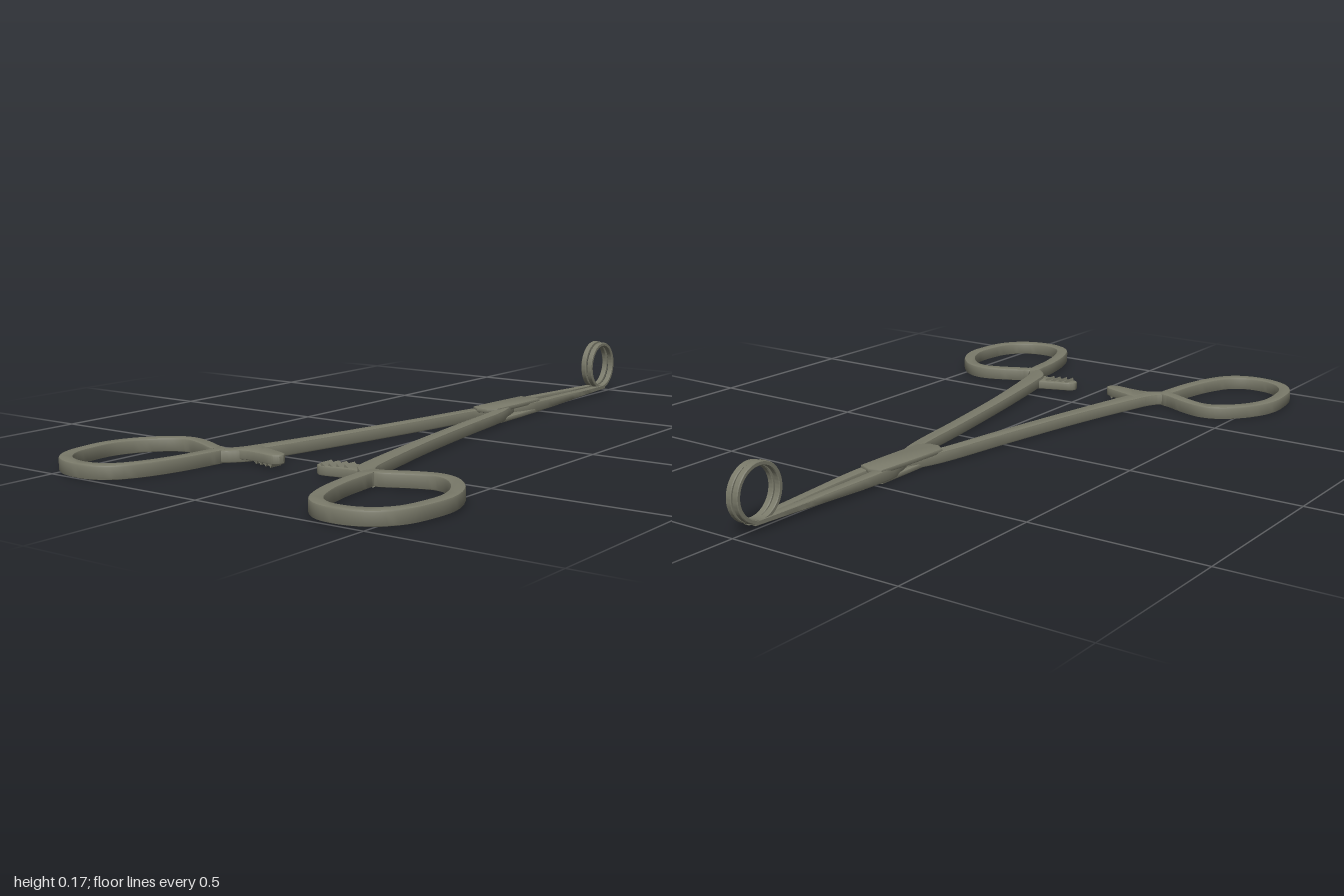
import * as THREE from 'three';
import { toCreasedNormals } from 'three/addons/utils/BufferGeometryUtils.js';

const steel = new THREE.MeshStandardMaterial({ color: 0x7a7a6a });

function part(name, geometry) {
  const mesh = new THREE.Mesh(toCreasedNormals(geometry, 0.6), steel);
  mesh.name = name;
  return mesh;
}

// Extrudes a shape drawn in (x, z) into a slab between y0 and y1.
function slab(shape, y0, y1, bevel = 0.005) {
  const g = new THREE.ExtrudeGeometry(shape, {
    depth: y1 - y0 - 2 * bevel, bevelThickness: bevel, bevelSize: bevel,
    bevelOffset: -bevel, bevelSegments: 2,
  });
  return g.rotateX(Math.PI / 2).translate(0, y1 - bevel, 0);
}

// Outline of a curved strip; each station is [x, z, width].
function strip(stations, closed = false, steps = 72) {
  const curve = new THREE.CatmullRomCurve3(
    stations.map(([x, z, w]) => new THREE.Vector3(x, z, w)), closed, 'centripetal');
  const a = [], b = [];
  for (let i = 0; i < steps + (closed ? 0 : 1); i++) {
    const p = curve.getPoint(i / steps), t = curve.getTangent(i / steps);
    const k = p.z / 2 / Math.hypot(t.x, t.y);
    a.push(new THREE.Vector2(p.x - t.y * k, p.y + t.x * k));
    b.push(new THREE.Vector2(p.x + t.y * k, p.y - t.x * k));
  }
  if (!closed) return new THREE.Shape([...a, ...b.reverse()]);
  // Outer loop runs counter-clockwise and the hole clockwise, so all walls face outwards
  const [outer, inner] = THREE.ShapeUtils.area(a) > 0 ? [b, a] : [a.reverse(), b.reverse()];
  const shape = new THREE.Shape(outer);
  shape.holes.push(new THREE.Path(inner.reverse()));
  return shape;
}

// Thins the slab towards the jaw tip.
function taperJaw(g) {
  const p = g.attributes.position;
  for (let i = 0; i < p.count; i++) {
    const t = THREE.MathUtils.smoothstep(p.getX(i), 0.35, 1.05);
    p.setY(i, 0.0245 + (p.getY(i) - 0.0245) * (1 - 0.65 * t));
  }
  return g;
}

const BOW = [
  [-0.65, 0.252], [-0.71, 0.254], [-0.79, 0.264], [-0.88, 0.288], [-0.945, 0.322],
  [-0.977, 0.37], [-0.98, 0.44], [-0.955, 0.498], [-0.905, 0.537], [-0.83, 0.553], [-0.75, 0.553],
  [-0.67, 0.52], [-0.608, 0.46], [-0.593, 0.41], [-0.61, 0.345], [-0.64, 0.28],
];
const SHANK = [
  [-0.66, 0.255, 0.04], [-0.635, 0.225, 0.044], [-0.6, 0.202, 0.05], [-0.55, 0.188, 0.049],
  [-0.3, 0.133, 0.041], [0, 0.079, 0.038], [0.24, 0.04, 0.036], [0.32, 0.015, 0.036],
  [0.42, -0.018, 0.036], [0.5, -0.025, 0.032], [0.7, -0.019, 0.026], [0.85, -0.0135, 0.021], [0.94, -0.011, 0.017],
];
const RATCHET = [
  [-0.595, 0.2, 0.085], [-0.6, 0.165, 0.066], [-0.61, 0.12, 0.054],
  [-0.619, 0.085, 0.047], [-0.622, 0.07, 0.036], [-0.624, 0.061, 0.014],
];

// One half: handle on side s, jaw crossing over to the other side.
function makeArm(name, s) {
  const arm = new THREE.Group();
  arm.name = name;
  const side = (pts) => pts.map(([x, z, w = 0.036]) => [x, z * s, w]);

  arm.add(part('fingerBow', slab(strip(side(BOW), true), 0.0045, 0.0425)));
  arm.add(part('shankAndJaw', taperJaw(slab(strip(side(SHANK)), 0.007, 0.041))));

  // Ratchet bar with a row of slanted teeth facing its partner
  const [y0, y1] = s > 0 ? [0.006, 0.032] : [0.016, 0.042];
  arm.add(part('ratchetBar', slab(strip(side(RATCHET), false, 24), y0, y1, 0.004)));
  const toothShape = new THREE.Shape([
    new THREE.Vector2(0, -0.004), new THREE.Vector2(0.02, -0.004), new THREE.Vector2(0.004, 0.008)]);
  for (let i = 0; i < 4; i++) {
    const tooth = part('ratchetTooth', new THREE.ExtrudeGeometry(toothShape, { depth: 0.04, bevelEnabled: false }));
    tooth.rotation.set(s > 0 ? 0 : Math.PI, -Math.PI / 2, 0);
    tooth.position.set(-0.6 + i * 0.005, s > 0 ? y1 : y0, s * (0.08 + i * 0.021));
    arm.add(tooth);
  }

  // Ring at the jaw tip, standing upright
  const ring = new THREE.Shape().absarc(0, 0, 0.078, 0, Math.PI * 2);
  ring.holes.push(new THREE.Path().absarc(0, 0, 0.066, 0, Math.PI * 2));
  const ringGeo = new THREE.ExtrudeGeometry(ring, {
    depth: 0.013, bevelThickness: 0.002, bevelSize: 0.002, bevelOffset: -0.002, bevelSegments: 1, curveSegments: 40 });
  arm.add(part('tipRing', ringGeo.translate(0.92, 0.098, -s * 0.011 - 0.0065)));

  arm.position.y = s * 0.0015;
  return arm;
}

// Box lock: plates above and below the crossing
function makeLock() {
  const lock = new THREE.Group();
  lock.name = 'boxLock';
  const outline = [[0.225, -0.025], [0.245, -0.052], [0.36, -0.047], [0.49, -0.038], [0.5, 0.0],
    [0.485, 0.037], [0.38, 0.036], [0.25, 0.032], [0.225, 0.01]];
  for (const [name, m, y0, y1] of [['upperPlate', 1, 0.033, 0.046], ['lowerPlate', -1, 0.005, 0.018]]) {
    const shape = new THREE.Shape(outline.map(([x, z]) => new THREE.Vector2(x, z * m)));
    lock.add(part(name, slab(shape, y0, y1, 0.003)));
  }
  const pin = part('pivotPin', new THREE.CylinderGeometry(0.014, 0.014, 0.036, 24));
  pin.position.set(0.36, 0.0255, 0);
  lock.add(pin);
  return lock;
}

export function createModel() {
  const model = new THREE.Group();
  model.name = 'ringForceps';
  model.add(makeArm('frontArm', 1), makeArm('backArm', -1), makeLock());
  return model;
}
